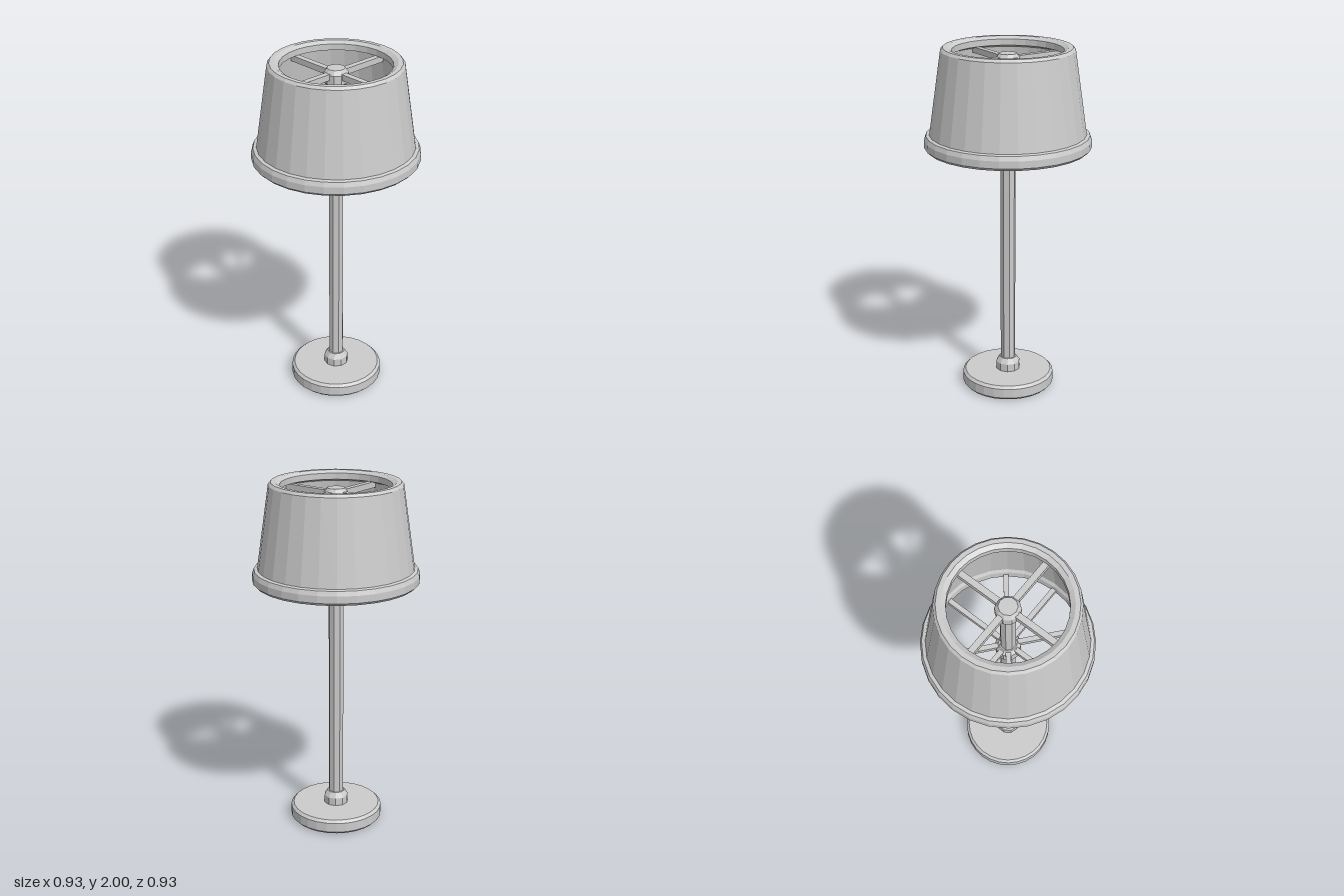
import * as THREE from 'three';

const material = new THREE.MeshStandardMaterial({ color: 0xcccccc, flatShading: true });

// Turned part from [radius, height] pairs, outside going up
function turned(name, profile, sides) {
  const points = profile.map(([r, y]) => new THREE.Vector2(r, y));
  const mesh = new THREE.Mesh(new THREE.LatheGeometry(points, sides), material);
  mesh.name = name;
  return mesh;
}

// Ring of thin bars reaching from the pole to the shade
function spokes(name, y, outer, thickness, angles) {
  const group = new THREE.Group();
  group.name = name;
  const inner = 0.03;
  for (const angle of angles) {
    const geometry = new THREE.BoxGeometry(outer - inner, thickness, thickness);
    geometry.translate((outer + inner) / 2, y, 0);
    const bar = new THREE.Mesh(geometry, material);
    bar.name = 'spoke';
    bar.rotation.y = THREE.MathUtils.degToRad(angle);
    group.add(bar);
  }
  return group;
}

export function createModel() {
  const model = new THREE.Group();
  model.name = 'tableLamp';

  // Round foot with softened edges
  model.add(turned('base', [
    [0, 0], [0.25, 0], [0.265, 0.015], [0.265, 0.07], [0.25, 0.085], [0, 0.085],
  ], 28));

  // Collar where the pole meets the foot
  model.add(turned('baseCollar', [
    [0.07, 0.08], [0.07, 0.13], [0.05, 0.16], [0, 0.16],
  ], 10));

  // Eight-sided pole, running up inside the shade
  const pole = new THREE.Mesh(new THREE.CylinderGeometry(0.043, 0.043, 1.8, 8), material);
  pole.name = 'pole';
  pole.position.y = 1.02;
  pole.rotation.y = Math.PI / 8;
  model.add(pole);

  // Flared collar carrying the lower spokes
  model.add(turned('lowerHub', [
    [0.043, 1.36], [0.07, 1.4], [0.07, 1.46], [0.05, 1.48], [0, 1.48],
  ], 10));

  // Knob carrying the upper spokes
  model.add(turned('upperHub', [
    [0, 1.87], [0.05, 1.87], [0.068, 1.89], [0.068, 1.94], [0.05, 1.965], [0, 1.965],
  ], 10));

  // Hollow tapered shade with a turned-in top lip and a rounded bottom rim
  model.add(turned('shade', [
    [0.4, 1.45], [0.415, 1.435], [0.45, 1.435], [0.465, 1.45], [0.465, 1.49],
    [0.455, 1.515], [0.436, 1.52], [0.368, 1.985], [0.355, 2], [0.33, 2],
    [0.305, 1.985], [0.305, 1.95], [0.345, 1.935], [0.41, 1.52], [0.4, 1.5], [0.4, 1.45],
  ], 28));

  // Spokes holding the shade
  model.add(spokes('upperSpokes', 1.93, 0.34, 0.034, [0, 90, 180, 270]));
  model.add(spokes('lowerSpokes', 1.46, 0.41, 0.028, [0, 40, 90, 140, 180, 220, 270, 320]));

  return model;
}
